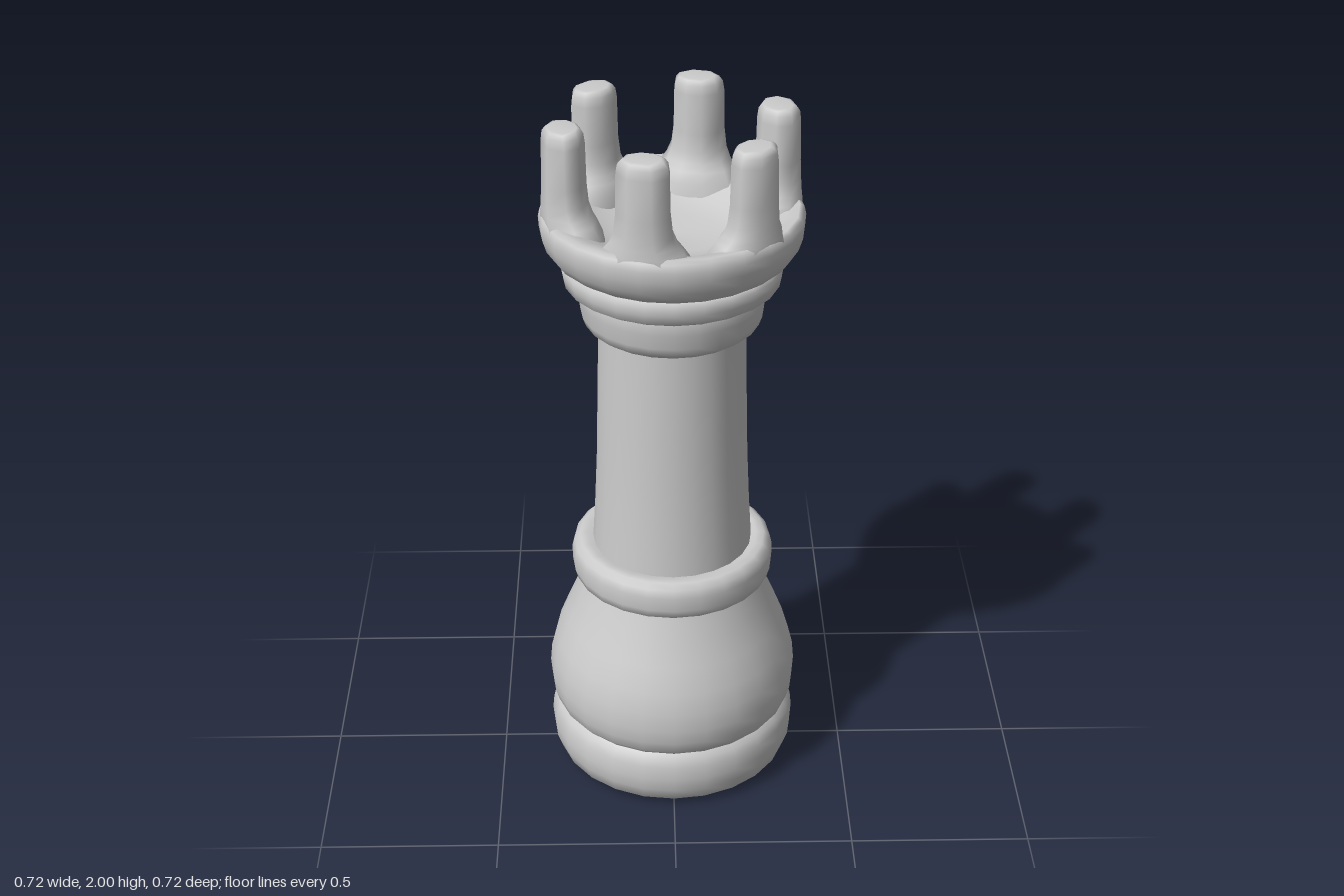
import * as THREE from 'three';

const material = new THREE.MeshStandardMaterial({ color: 0xcccccc, side: THREE.DoubleSide });

// Turned part from a [radius, height] profile, listed upwards
function turned(name, profile) {
  const points = profile.map(([r, y]) => new THREE.Vector2(r, y));
  const mesh = new THREE.Mesh(new THREE.LatheGeometry(points, 24), material);
  mesh.name = name;
  return mesh;
}

// Battlement post: stacked eight-sided loops bent around the crown,
// each [height, half width, inner radius, outer radius]
function battlementGeometry() {
  const loops = [
    [1.66, 0.150, 0.190, 0.335], [1.72, 0.128, 0.200, 0.346], [1.75, 0.105, 0.212, 0.346],
    [1.77, 0.088, 0.222, 0.345], [1.80, 0.075, 0.231, 0.344], [1.85, 0.069, 0.235, 0.342],
    [1.96, 0.067, 0.237, 0.340], [1.985, 0.063, 0.240, 0.337], [1.997, 0.054, 0.248, 0.329],
    [2.0, 0.044, 0.255, 0.320], [2.0, 0, 0.288, 0.288],
  ];
  const sides = 8, positions = [], index = [];
  loops.forEach(([y, width, inner, outer], i) => {
    for (let j = 0; j < sides; j++) {
      const a = ((j + 0.5) / sides) * Math.PI * 2;
      const k = 1 / Math.cos(Math.PI / sides);
      const radius = (inner + outer) / 2 + ((outer - inner) / 2) * k * Math.cos(a);
      const angle = (width * k * Math.sin(a)) / 0.3;
      positions.push(radius * Math.cos(angle), y, radius * Math.sin(angle));
      if (i === loops.length - 1) continue;
      const p = i * sides + j, q = i * sides + ((j + 1) % sides);
      index.push(p, p + sides, q, q, p + sides, q + sides);
    }
  });
  const geometry = new THREE.BufferGeometry();
  geometry.setAttribute('position', new THREE.Float32BufferAttribute(positions, 3));
  geometry.setIndex(index);
  geometry.computeVertexNormals();
  return geometry;
}

export function createModel() {
  const model = new THREE.Group();
  model.name = 'rook';

  // Foot, bell, collar and shaft
  model.add(
    turned('foot', [[0, 0.008], [0.27, 0.008], [0.28, 0.004], [0.315, 0.012], [0.338, 0.03], [0.352, 0.07],
      [0.356, 0.11], [0.352, 0.15], [0.342, 0.175], [0.328, 0.188]]),
    turned('bell', [[0.328, 0.186], [0.344, 0.205], [0.354, 0.24], [0.358, 0.285], [0.353, 0.34],
      [0.338, 0.4], [0.31, 0.47], [0.28, 0.54], [0.252, 0.62]]),
    turned('collar', [[0.24, 0.614], [0.262, 0.614], [0.278, 0.625], [0.285, 0.65], [0.285, 0.69],
      [0.279, 0.715], [0.262, 0.729], [0.24, 0.729], [0.215, 0.722]]),
    turned('shaft', [[0.225, 0.72], [0.217, 0.85], [0.21, 1.0], [0.206, 1.15], [0.202, 1.3], [0.2, 1.42]]),
  );

  // Neck rings under the crown
  model.add(
    turned('lowerNeckRing', [[0.195, 1.405], [0.218, 1.41], [0.238, 1.425], [0.247, 1.45], [0.251, 1.49],
      [0.256, 1.525], [0.245, 1.535]]),
    turned('upperNeckRing', [[0.235, 1.535], [0.275, 1.535], [0.291, 1.545], [0.296, 1.57], [0.3, 1.598],
      [0.285, 1.606]]),
  );

  // Crown bowl with its shallow hollow
  model.add(
    turned('crown', [[0.27, 1.603], [0.295, 1.61], [0.32, 1.628], [0.339, 1.655], [0.35, 1.69],
      [0.352, 1.72], [0.347, 1.742], [0.335, 1.75], [0.3, 1.742], [0.25, 1.718], [0.19, 1.685],
      [0.12, 1.667], [0, 1.66]]),
  );

  // Six battlements
  const geometry = battlementGeometry();
  for (let i = 0; i < 6; i++) {
    const post = new THREE.Mesh(geometry, material);
    post.name = `battlement${i + 1}`;
    post.rotation.y = -Math.PI / 4 - (i * Math.PI) / 3;
    model.add(post);
  }
  return model;
}
